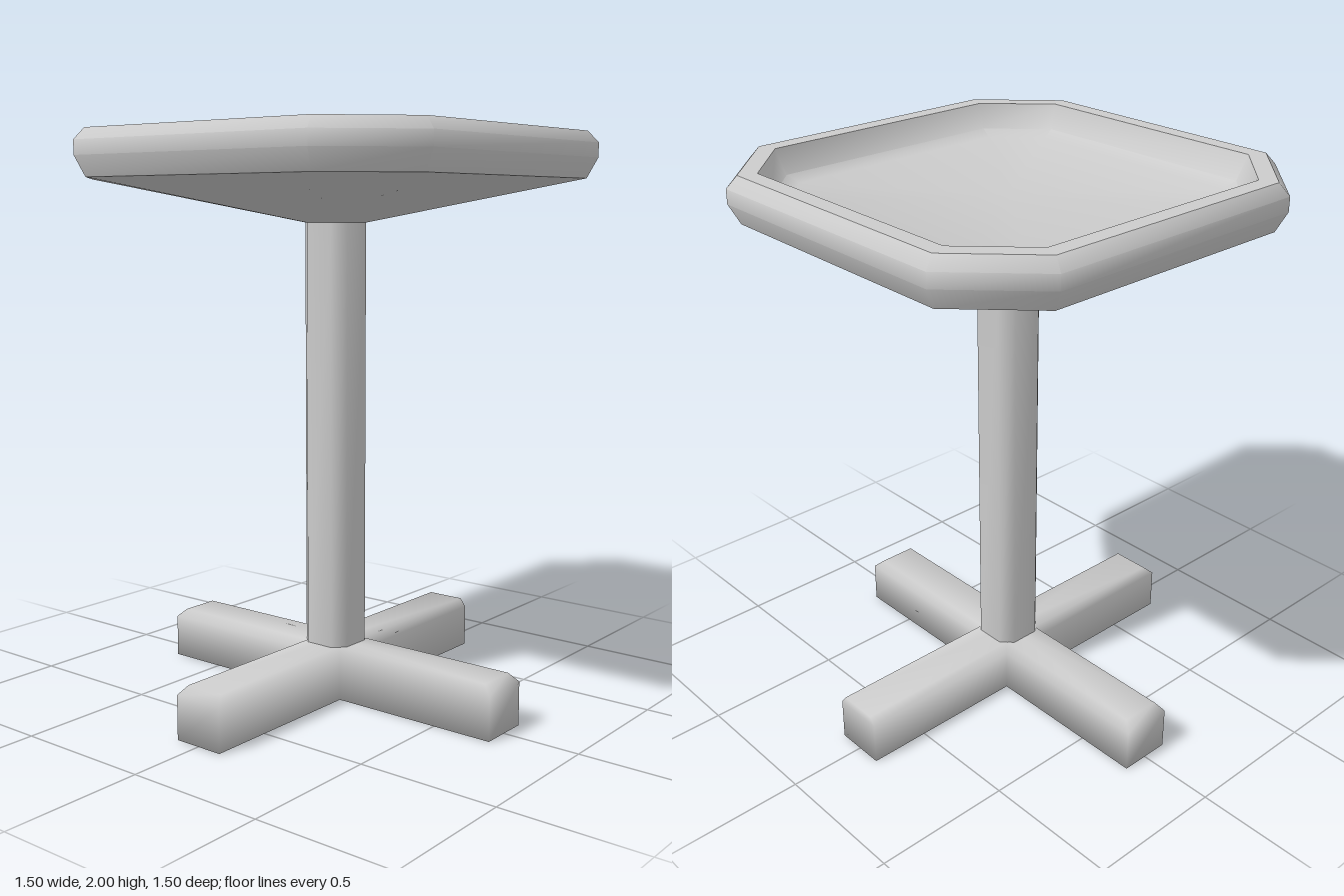
import * as THREE from 'three';
import { toCreasedNormals } from 'three/addons/utils/BufferGeometryUtils.js';

const material = new THREE.MeshStandardMaterial({ color: 0xcccccc });

// Square with cut corners: half = half width, c = where the cut begins
function octagon(half, c, y) {
  return [[c, half], [half, c], [half, -c], [c, -half], [-c, -half], [-half, -c], [-half, c], [-c, half]]
    .map(([x, z]) => [x, y, z]);
}

// Plus-shaped footprint: w = half arm width, e = arm length, back = length of the rear arm
function cross(w, e, back, y) {
  return [[w, e], [w, w], [e, w], [e, -w], [w, -w], [w, -back],
    [-w, -back], [-w, -w], [-e, -w], [-e, w], [-w, w], [-w, e]]
    .map(([x, z]) => [x, y, z]);
}

// Skin over stacked rings, closed at both ends with a fan
function loft(name, rings, crease) {
  const n = rings[0].length;
  const last = (rings.length - 1) * n;
  const points = rings.flat();
  const bottom = points.push([0, rings[0][0][1], 0]) - 1;
  const top = points.push([0, rings[rings.length - 1][0][1], 0]) - 1;
  const index = [];
  for (let i = 0; i < n; i++) {
    const j = (i + 1) % n;
    for (let r = 0; r < last; r += n) {
      index.push(r + i, r + j, r + n + j, r + i, r + n + j, r + n + i);
    }
    index.push(bottom, j, i, top, last + i, last + j);
  }
  const geometry = new THREE.BufferGeometry();
  geometry.setAttribute('position', new THREE.Float32BufferAttribute(points.flat(), 3));
  geometry.setIndex(index);
  const mesh = new THREE.Mesh(toCreasedNormals(geometry, crease), material);
  mesh.name = name;
  return mesh;
}

export function createModel() {
  const group = new THREE.Group();
  group.name = 'pedestalTable';

  // Four-armed foot with chamfered upper edges
  group.add(loft('crossBase', [
    cross(0.094, 0.72, 0.72, 0),
    cross(0.094, 0.72, 0.72, 0.155),
    cross(0.072, 0.688, 0.72, 0.185),
  ], 1.7));

  // Column with cut corners
  group.add(loft('column', [octagon(0.093, 0.053, 0.15), octagon(0.093, 0.053, 1.7)], 0.9));

  // Tapered underside, rounded rim and recessed tray with a steep wall
  group.add(loft('tableTop', [
    octagon(0.093, 0.053, 1.69),
    octagon(0.715, 0.48, 1.84),
    octagon(0.75, 0.495, 1.91),
    octagon(0.75, 0.495, 1.96),
    octagon(0.715, 0.48, 2),
    octagon(0.655, 0.455, 2),
    octagon(0.62, 0.44, 1.915),
    octagon(0.57, 0.425, 1.895),
  ], 0.82));

  return group;
}
